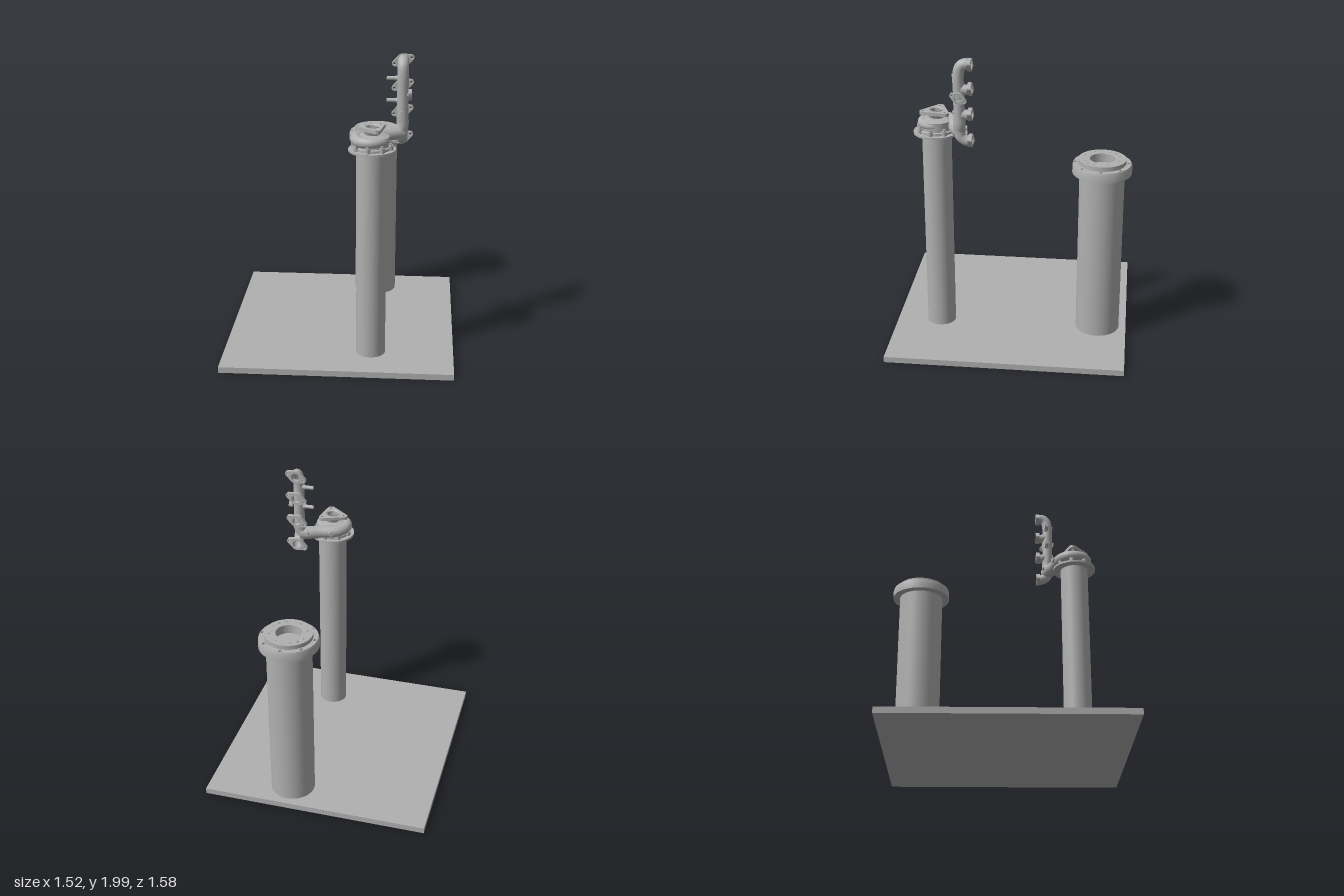
import * as THREE from 'three';
import { toCreasedNormals } from 'three/addons/utils/BufferGeometryUtils.js';

const TAU = Math.PI * 2;
const V = (x, y, z) => new THREE.Vector3(x, y, z);

export function createModel() {
  const castGrey = new THREE.MeshStandardMaterial({ color: 0xb0b0b0, side: THREE.DoubleSide });
  castGrey.name = 'castGrey';
  const model = new THREE.Group();
  model.name = 'manifoldDisplay';

  const group = (name, parent = model) => {
    const g = new THREE.Group();
    g.name = name;
    parent.add(g);
    return g;
  };
  const add = (parent, name, geo, x = 0, y = 0, z = 0) => {
    const m = new THREE.Mesh(geo, castGrey);
    m.name = name;
    m.position.set(x, y, z);
    parent.add(m);
    return m;
  };
  const lathe = (pts) => toCreasedNormals(
    new THREE.LatheGeometry(pts.map(([x, y]) => new THREE.Vector2(x, y)), 64), 0.6);
  const cyl = (r, h, r2 = r, n = 32) => new THREE.CylinderGeometry(r2, r, h, n);
  const hole = (shape, x, y, r) => shape.holes.push(new THREE.Path().absarc(x, y, r, 0, TAU, true));
  const extrude = (shape, depth) => toCreasedNormals(
    new THREE.ExtrudeGeometry(shape, { depth, bevelEnabled: false, curveSegments: 24 }), 0.6);

  // Flange outline: a round centre joined to n bolt ears by tangent lines
  const earFlange = (n, turn, R, d, r, bore, boltHole, depth) => {
    const s = new THREE.Shape();
    const a = Math.min(Math.acos((R - r) / d), Math.PI / n);
    for (let k = 0; k < n; k++) {
      const t = turn + k * TAU / n;
      s.absarc(d * Math.cos(t), d * Math.sin(t), r, t - a, t + a);
      if (a < Math.PI / n - 0.01) s.absarc(0, 0, R, t + a, t + TAU / n - a);
      hole(s, d * Math.cos(t), d * Math.sin(t), boltHole);
    }
    hole(s, 0, 0, bore);
    return extrude(s, depth);
  };

  // Tube whose radius changes along its path
  const pipe = (pts, radius, n = 40) => {
    const path = new THREE.CatmullRomCurve3(pts);
    const geo = new THREE.TubeGeometry(path, n, 1, 24);
    const pos = geo.attributes.position;
    const v = V(0, 0, 0);
    for (let i = 0; i <= n; i++) {
      const c = path.getPointAt(i / n);
      for (let j = 0; j <= 24; j++) {
        const k = i * 25 + j;
        v.fromBufferAttribute(pos, k).sub(c).multiplyScalar(radius(i / n)).add(c);
        pos.setXYZ(k, v.x, v.y, v.z);
      }
    }
    return geo;
  };

  // Base plate
  add(model, 'basePlate', new THREE.BoxGeometry(1.52, 0.04, 1.58), 0, 0.02, 0);

  // Wide column with drilled, stepped flange
  const wide = group('wideStand');
  wide.position.set(0.196, 0, -0.593);
  add(wide, 'wideColumn', cyl(0.148, 1.16, 0.148, 64), 0, 0.62, 0);
  add(wide, 'flangeBody', lathe([[0, 1.19], [0.195, 1.19], [0.195, 1.24], [0.189, 1.256]]));
  const ring = new THREE.Shape().absarc(0, 0, 0.189, 0, TAU);
  const hub = new THREE.Shape().absarc(0, 0, 0.156, 0, TAU);
  hole(ring, 0, 0, 0.083);
  hole(hub, 0, 0, 0.083);
  for (let k = 0; k < 8; k++) {
    const a = k * TAU / 8, b = a + TAU / 16;
    hole(ring, 0.174 * Math.cos(a), 0.174 * Math.sin(a), 0.012);
    hole(hub, 0.123 * Math.cos(b), 0.123 * Math.sin(b), 0.006);
  }
  for (const s of [1, -1]) hole(hub, s * -0.088, s * 0.088, 0.008);
  add(wide, 'flangeRing', extrude(ring, 0.03), 0, 1.226, 0).rotation.x = -Math.PI / 2;
  add(wide, 'flangeHub', extrude(hub, 0.029), 0, 1.256, 0).rotation.x = -Math.PI / 2;
  add(wide, 'boreFloor', cyl(0.19, 0.01, 0.19, 48), 0, 1.221, 0);

  // Narrow column with thin top disc
  const narrow = group('narrowStand');
  narrow.position.set(0.212, 0, 0.489);
  add(narrow, 'narrowColumn', cyl(0.096, 1.4, 0.096, 64), 0, 0.735, 0);
  add(narrow, 'topDisc', cyl(0.15, 0.014, 0.15, 64), 0, 1.438, 0);

  // Turbine housing: hub, neck, mouth flange and lower bolt ring
  const housing = group('turbineHousing', narrow);
  add(housing, 'housingCore', lathe([
    [0.118, 1.445], [0.118, 1.46], [0.108, 1.465], [0.108, 1.525], [0.075, 1.534],
    [0.048, 1.538], [0.05, 1.548], [0.062, 1.566], [0.045, 1.58], [0.045, 1.591],
    [0.036, 1.585], [0.034, 1.5], [0, 1.5]]));
  add(housing, 'mouthFlange', earFlange(3, 0.89, 0.062, 0.086, 0.024, 0.044, 0.009, 0.022),
    0, 1.564, 0).rotation.x = -Math.PI / 2;
  for (let k = 0; k < 8; k++) {
    const a = k * TAU / 8 + 0.2;
    const x = 0.118 * Math.cos(a), z = 0.118 * Math.sin(a);
    add(housing, 'boltLug', cyl(0.017, 0.03, 0.017, 20), x, 1.46, z);
    add(housing, 'boltHead', cyl(0.01, 0.012, 0.01, 6), x, 1.481, z);
  }

  // Scroll: the duct enters from the manifold and tightens round the hub
  const scroll = [V(0.185, 1.503, -0.185), V(0.12, 1.502, -0.16), V(0.055, 1.502, -0.13)];
  for (let k = 0; k <= 10; k++) {
    const t = k / 10, a = 1.95 + t * 4.6, r = 0.108 - 0.028 * t;
    scroll.push(V(r * Math.cos(a), 1.502, -r * Math.sin(a)));
  }
  add(housing, 'scroll', pipe(scroll, (t) => 0.046 - 0.018 * t, 90));
  add(housing, 'scrollTail', new THREE.SphereGeometry(0.028, 20, 12),
    0.08 * Math.cos(6.55), 1.502, -0.08 * Math.sin(6.55));
  const boss = add(housing, 'scrollBoss', cyl(0.022, 0.05, 0.017, 20), -0.022, 1.505, -0.135);
  boss.rotation.set(-Math.PI / 2, 0, 0.4);
  add(housing, 'ductBoss', cyl(0.014, 0.04, 0.014, 20), 0.125, 1.515, -0.2).rotation.x = Math.PI / 2;

  // Exhaust manifold: upright collector bending into the top port and the duct
  const manifold = group('exhaustManifold');
  const X = 0.395;
  add(manifold, 'collector', pipe([
    V(X, 1.95, 0.23), V(X, 1.957, 0.27), V(X, 1.935, 0.3), V(X, 1.88, 0.312), V(X, 1.75, 0.31),
    V(X, 1.62, 0.31), V(X, 1.55, 0.31), V(0.378, 1.508, 0.315), V(0.33, 1.5, 0.335), V(0.28, 1.5, 0.355)],
  (t) => 0.036 + 0.009 * Math.max(0, t - 0.6) / 0.4, 80));
  add(manifold, 'lowerRunner', pipe([
    V(X, 1.45, 0.23), V(X, 1.452, 0.265), V(X, 1.475, 0.3), V(X, 1.53, 0.315)], () => 0.035));
  for (const y of [1.79, 1.625]) {
    add(manifold, 'runner', pipe([V(X, y, 0.23), V(X, y, 0.26), V(X, y + 0.004, 0.3)], () => 0.033, 12));
  }

  // Four slanted port flanges on the back
  for (const y of [1.953, 1.795, 1.628, 1.453]) {
    add(manifold, 'portFlange', earFlange(2, 0.36, 0.042, 0.058, 0.016, 0.028, 0.008, 0.026), X - 0.003, y, 0.226);
  }

  // Two sensor stubs on the right, small bosses on the front
  for (const y of [1.853, 1.71]) {
    add(manifold, 'sensorStub', cyl(0.013, 0.09, 0.013, 20), 0.337, y, 0.305).rotation.z = Math.PI / 2;
    add(manifold, 'stubCollar', cyl(0.018, 0.03, 0.015, 20), 0.36, y, 0.305).rotation.z = Math.PI / 2;
  }
  for (const y of [1.88, 1.64]) {
    add(manifold, 'frontBoss', cyl(0.011, 0.02, 0.011, 20), X, y, 0.342).rotation.x = Math.PI / 2;
  }

  // Side outlet with two-bolt flange on the left
  const outlet = group('sideOutlet', manifold);
  outlet.position.set(0.43, 1.748, 0.308);
  outlet.rotation.y = Math.PI / 2;
  add(outlet, 'outletFlange', earFlange(2, -0.45, 0.036, 0.044, 0.014, 0.02, 0.007, 0.022));
  add(outlet, 'outletNeck', new THREE.CylinderGeometry(0.026, 0.03, 0.05, 24, 1, true), 0, 0, -0.012).rotation.x = Math.PI / 2;

  return model;
}
